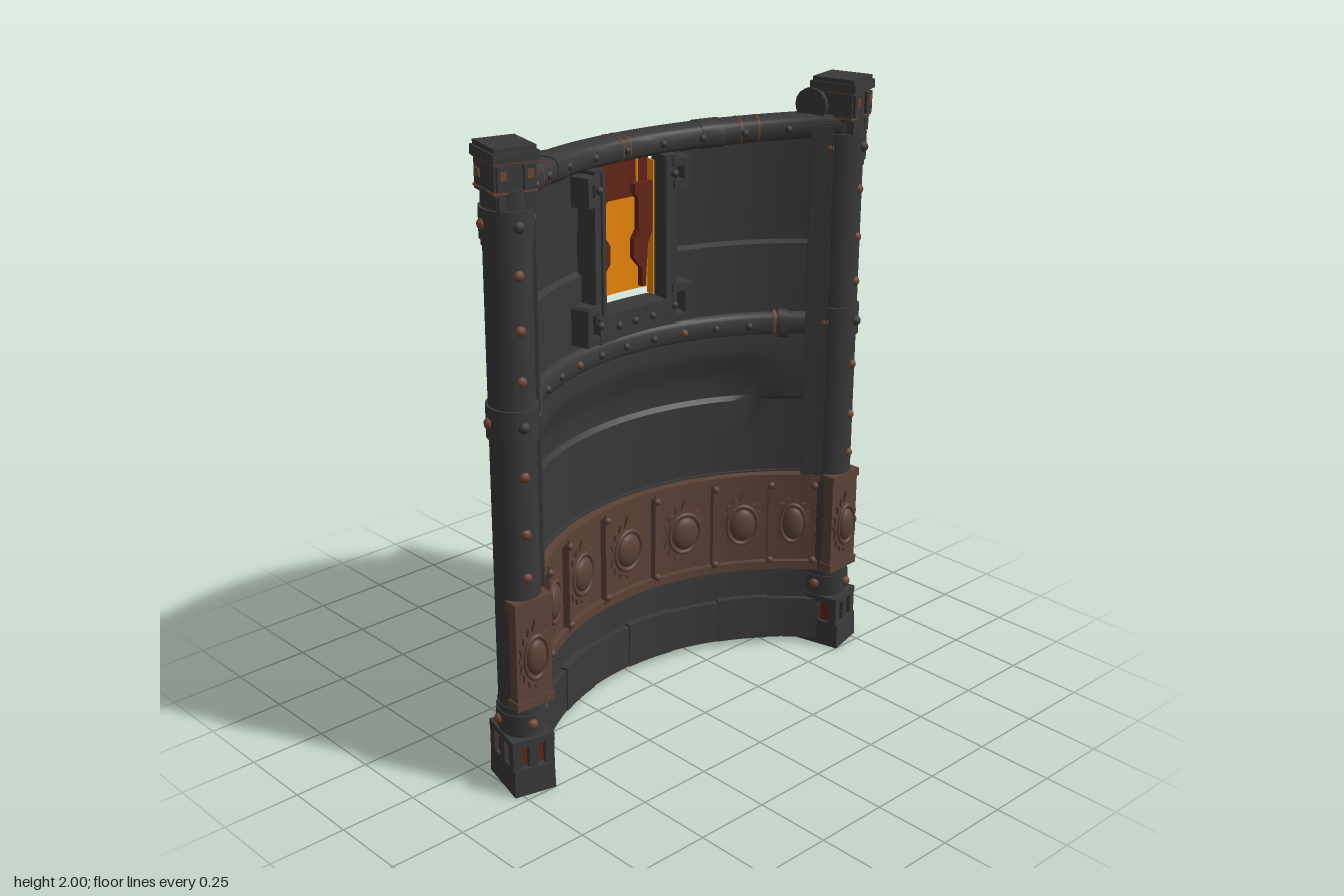
import * as THREE from 'three';
import { toCreasedNormals } from 'three/addons/utils/BufferGeometryUtils.js';

const R = 0.85, CZ = 0.68; // wall arc radius and centre depth
const flat = (name, color, side = THREE.FrontSide) => {
  const m = new THREE.MeshStandardMaterial({ color, side });
  m.name = name;
  return m;
};

export function createModel() {
  const root = new THREE.Group();
  root.name = 'curvedWall';
  const iron = flat('dark iron', 0x393939, THREE.DoubleSide);
  const bronze = flat('brown bronze', 0x5b4236);
  const copper = flat('worn copper', 0x6e4430);
  const glow = flat('amber glass', 0xf48c0a);
  const red = flat('dark red', 0x622418);

  const group = (name, parent = root) => {
    const g = new THREE.Group();
    g.name = name;
    parent.add(g);
    return g;
  };
  const add = (parent, name, geo, mat, x = 0, y = 0, z = 0) => {
    const m = new THREE.Mesh(geo, mat);
    m.name = name;
    m.position.set(x, y, z);
    parent.add(m);
    return m;
  };
  // wraps a flat-built geometry round the arc: x runs along the wall, z toward the front
  const bend = (geo) => {
    const p = geo.attributes.position;
    for (let i = 0; i < p.count; i++) {
      const a = p.getX(i) / R, r = R - p.getZ(i);
      p.setXYZ(i, r * Math.sin(a), p.getY(i), CZ - r * Math.cos(a));
    }
    return toCreasedNormals(geo, 0.6);
  };
  const block = (parent, name, mat, w, h, d, s, y, z) =>
    add(parent, name, bend(new THREE.BoxGeometry(w, h, d, Math.max(1, Math.ceil(w / 0.05))).translate(s, y, z)), mat);
  // rail with a rounded-square section
  const squarish = (v) => Math.sign(v) * Math.abs(v) ** 0.6;
  const rail = (parent, name, mat, len, ry, rz, s, y, z, lift = 0) => {
    const g = new THREE.CylinderGeometry(1, 1, len, 20, Math.max(1, Math.ceil(len / 0.05))).rotateZ(Math.PI / 2);
    const p = g.attributes.position;
    for (let i = 0; i < p.count; i++) {
      const x = p.getX(i) + s;
      p.setXYZ(i, x, y + ry * squarish(p.getY(i)) + lift * (x / 0.77) ** 2, z + rz * squarish(p.getZ(i)));
    }
    return add(parent, name, bend(g), mat);
  };
  // group standing on the arc, facing its centre
  const station = (parent, name, s, y, z) => {
    const g = group(name, parent), a = s / R, r = R - z;
    g.position.set(r * Math.sin(a), y, CZ - r * Math.cos(a));
    g.rotation.y = -a;
    return g;
  };
  const rivetGeo = new THREE.SphereGeometry(0.013, 10, 8);

  // ---- wall sheets, shaped by [height, depth, recess depth] rows ----
  const sheet = (name, s0, s1, rows) => {
    const g = new THREE.PlaneGeometry(1, 1, 32, rows.length - 1), p = g.attributes.position;
    for (let i = 0; i < p.count; i++) {
      const s = s0 + (p.getX(i) + 0.5) * (s1 - s0);
      const [y, z, dip = 0] = rows[rows.length - 1 - Math.floor(i / 33)];
      const fade = 1 - THREE.MathUtils.smoothstep(Math.abs(s), 0.42, 0.62);
      p.setXYZ(i, s, y, z - dip * fade);
    }
    add(root, name, bend(g), iron);
  };
  sheet('lowerWall', -0.77, 0.77, [[0.63, 0.008], [0.78, 0.012], [0.91, 0.016], [0.925, 0.034, 0.03],
    [0.98, 0.04, 0.034], [1.03, 0.042, 0.024], [1.07, 0.042, 0.008], [1.1, 0.04], [1.18, 0.034]]);
  const upper = [[1.15, 0.02], [1.3, 0.02], [1.455, 0.02], [1.465, 0], [1.55, 0.004], [1.68, 0.012], [1.85, 0.02]];
  sheet('upperWallRight', -0.77, -0.14, upper);
  sheet('upperWallLeft', 0.14, 0.77, upper);
  // flanges joining the wall to the posts
  for (const side of [-1, 1]) block(root, 'postFlange', iron, 0.075, 1.2, 0.09, side * 0.715, 1.25, 0.015);

  // ---- plinth ----
  const plinth = group('plinth');
  for (let i = 0; i < 8; i++) {
    const odd = i % 2;
    block(plinth, 'plinthBlock', iron, 0.19, odd ? 0.15 : 0.158, odd ? 0.118 : 0.126, (i - 3.5) * 0.19, odd ? 0.095 : 0.099, -0.012);
  }
  block(plinth, 'plinthStep', iron, 1.52, 0.13, 0.06, 0, 0.235, -0.003);

  // ---- ornament band ----
  const medallion = (parent, k = 1) => {
    const shape = new THREE.Shape();
    for (let i = 0; i < 32; i++) {
      const t = (i / 32) * Math.PI * 2, f = i % 2 ? 0.84 : 1;
      const x = 0.083 * k * f * Math.sin(t), y = (i === 0 ? 0.122 : 0.105) * f * Math.cos(t);
      i ? shape.lineTo(x, y) : shape.moveTo(x, y);
    }
    add(parent, 'sunburst', new THREE.ExtrudeGeometry(shape, { depth: 0.01, bevelEnabled: false }), bronze);
    add(parent, 'medallionRing', new THREE.TorusGeometry(0.058, 0.007, 8, 24).scale(k, 1.2, 1), bronze, 0, 0, 0.011);
    add(parent, 'medallionDome', new THREE.SphereGeometry(0.048, 16, 12).scale(k, 1.2, 0.4), bronze, 0, 0, 0.01);
  };
  const band = group('ornamentBand');
  block(band, 'bandPanel', bronze, 1.5, 0.34, 0.016, 0, 0.47, 0.028);
  block(band, 'bandTopTrim', bronze, 1.5, 0.025, 0.03, 0, 0.635, 0.04);
  block(band, 'bandBottomTrim', bronze, 1.5, 0.03, 0.03, 0, 0.305, 0.04);
  medallion(station(band, 'medallion', 0, 0.46, 0.036));
  const ribs = [0.12, 0.36, 0.57, 0.73];
  for (const side of [-1, 1]) {
    [[0.245, 1], [0.468, 0.92], [0.655, 0.75]].forEach(([s, k]) =>
      medallion(station(band, 'medallion', side * s, 0.46, 0.036), k));
    for (const s of ribs) {
      block(band, 'bandRib', bronze, 0.018, 0.33, 0.03, side * s, 0.47, 0.045);
      for (const y of [0.33, 0.61]) add(station(band, 'ribStud', side * s, y, 0.06), 'stud', rivetGeo, bronze);
    }
  }

  // ---- open frame behind the band ----
  const frame = group('rearFrame');
  block(frame, 'rearTopRail', iron, 1.5, 0.02, 0.055, 0, 0.64, -0.008);
  block(frame, 'rearBottomRail', iron, 1.5, 0.025, 0.055, 0, 0.305, -0.008);
  block(frame, 'rearCentrePlate', iron, 0.25, 0.34, 0.01, 0, 0.47, -0.031);
  for (const side of [-1, 1])
    for (const s of ribs) block(frame, 'rearBar', iron, 0.02, 0.34, 0.014, side * s, 0.47, -0.029);

  // ---- rails ----
  const rails = group('rails');
  rail(rails, 'topRail', iron, 1.56, 0.04, 0.056, 0, 1.82, -0.004, 0.03);
  rail(rails, 'middleRail', iron, 1.56, 0.044, 0.05, 0, 1.18, -0.008);
  for (const s of [-0.5, -0.44, -0.015, 0.015, 0.44, 0.5])
    rail(rails, 'topRailRing', copper, 0.006, 0.0412, 0.0575, s, 1.82, -0.004, 0.03);
  for (const side of [-1, 1]) {
    rail(rails, 'topRailSleeve', iron, 0.08, 0.043, 0.059, side * 0.34, 1.82, -0.004, 0.03);
    for (const s of [0.6, 0.7]) rail(rails, 'railClamp', iron, 0.035, 0.052, 0.058, side * s, 1.18, -0.008);
    rail(rails, 'railClampRing', copper, 0.01, 0.05, 0.056, side * 0.57, 1.18, -0.008);
  }
  for (let i = -4; i <= 4; i++) {
    add(station(rails, 'railRivet', i * 0.12, 1.18, 0.042), 'rivet', rivetGeo, Math.abs(i) === 2 ? copper : iron);
    add(station(rails, 'topRailRivet', i * 0.15, 1.82 + 0.03 * (i * 0.15 / 0.77) ** 2, 0.05), 'rivet', rivetGeo, iron);
    if (i) add(station(rails, 'railBackRivet', i * 0.14, 1.18, -0.056), 'rivet', rivetGeo, iron);
  }

  // ---- window ----
  const win = group('window');
  block(win, 'windowSill', iron, 0.36, 0.085, 0.08, 0, 1.28, 0.045);
  block(win, 'windowSillBack', iron, 0.3, 0.12, 0.035, 0, 1.262, 0.005);
  block(win, 'glass', glow, 0.27, 0.305, 0.006, 0, 1.497, -0.018);
  block(win, 'glassTop', red, 0.27, 0.14, 0.006, 0, 1.72, -0.018);
  add(win, 'glassLip', bend(new THREE.PlaneGeometry(0.27, 0.03, 6, 1).rotateY(Math.PI).translate(0, 1.332, -0.018)), glow);
  for (const side of [-1, 1]) {
    block(win, 'windowJamb', iron, 0.05, 0.48, 0.07, side * 0.165, 1.55, 0.04);
    block(win, 'jambStrip', iron, 0.018, 0.46, 0.085, side * 0.15, 1.55, 0.04);
    block(win, 'glassReturn', glow, 0.006, 0.44, 0.035, side * 0.135, 1.545, 0);
    block(win, 'glassEdge', glow, 0.006, 0.08, 0.006, side * 0.09, 1.735, -0.012);
    // stepped brackets at the corners
    for (const [y, w] of [[1.765, 0.07], [1.695, 0.06], [1.355, 0.07], [1.255, 0.08]])
      block(win, 'bracketArm', iron, w, 0.026, 0.065, side * 0.205, y, 0.05);
    block(win, 'bracketUpright', iron, 0.024, 0.09, 0.065, side * 0.225, 1.73, 0.05);
    block(win, 'bracketUpright', iron, 0.03, 0.12, 0.065, side * 0.235, 1.305, 0.05);
    for (const y of [1.73, 1.3]) add(station(win, 'windowRivet', side * 0.175, y, 0.083), 'rivet', rivetGeo, iron);
    // stepped red shutter in front of the glass
    const pts = [[0.13, 1.7], [0.13, 1.54], [0.11, 1.5], [0.1, 1.36], [0.085, 1.36], [0.085, 1.42],
      [0.05, 1.46], [0.05, 1.52], [0.07, 1.55], [0.07, 1.65], [0.055, 1.67], [0.055, 1.7]];
    const shape = new THREE.Shape(pts.map(([x, y]) => new THREE.Vector2(x * side, y)));
    add(win, 'shutter', new THREE.ExtrudeGeometry(shape, { depth: 0.02, bevelEnabled: false }), red, 0, 0, -0.165);
  }
  for (const s of [-0.08, 0, 0.08]) add(station(win, 'sillRivet', s, 1.28, 0.084), 'rivet', rivetGeo, iron);

  // ---- posts ----
  const box = (w, h, d) => new THREE.BoxGeometry(w, h, d);
  for (const side of [-1, 1]) {
    const post = group(side > 0 ? 'leftPost' : 'rightPost');
    post.position.set(side * 0.685, 0, 0.145);
    post.rotation.y = side * 0.25;
    add(post, 'shaft', new THREE.CylinderGeometry(0.068, 0.068, 1.7, 20).scale(1, 1, 1.12), iron, 0, 1.03, 0);

    // foot with red slits between pillars
    const foot = new THREE.CylinderGeometry(0.094, 0.097, 0.09, 4).rotateY(Math.PI / 4).scale(1, 1, 1.35).toNonIndexed();
    foot.computeVertexNormals();
    add(post, 'foot', foot, iron, 0, 0.045, 0);
    add(post, 'footCore', box(0.108, 0.09, 0.135), red, 0, 0.13, 0);
    for (const x of [-0.054, 0, 0.054])
      for (const z of [-0.07, 0.07]) add(post, 'footPillar', box(0.03, 0.09, 0.03), iron, x, 0.13, z);
    for (const x of [-0.054, 0.054]) add(post, 'footSidePillar', box(0.026, 0.09, 0.03), iron, x, 0.13, 0);
    add(post, 'footSlab', box(0.14, 0.022, 0.172), iron, 0, 0.176, 0);

    // collars round the shaft
    for (const [y, h, r] of [[0.235, 0.06, 0.076], [0.275, 0.02, 0.072], [1.195, 0.1, 0.076], [1.78, 0.09, 0.077], [1.725, 0.02, 0.072]])
      add(post, 'collar', new THREE.CylinderGeometry(r, r, h, 20).scale(1, 1, 1.1), iron, 0, y, 0);
    for (const y of [0.235, 1.195, 1.78]) {
      add(post, 'collarBolt', new THREE.SphereGeometry(0.018, 10, 8), y === 0.235 ? copper : iron, 0, y, 0.08);
      for (const x of [-0.071, 0.071]) add(post, 'collarBolt', new THREE.SphereGeometry(0.018, 10, 8), copper, x, y, 0);
    }
    for (const y of [0.72, 0.86, 1.04, 1.33, 1.48, 1.64])
      add(post, 'shaftRivet', new THREE.SphereGeometry(0.017, 10, 8), copper, 0, y, 0.07);

    // bronze panel facing straight ahead
    const panel = group('postOrnament', post);
    panel.rotation.y = -side * 0.2;
    add(panel, 'postPanel', box(0.13, 0.33, 0.035), bronze, 0, 0.47, 0.058);
    for (const y of [0.305, 0.635]) add(panel, 'postPanelTrim', box(0.138, 0.028, 0.05), bronze, 0, y, 0.056);
    const badge = group('postMedallion', panel);
    badge.position.set(0, 0.46, 0.0755);
    medallion(badge, 0.74);

    // capital
    add(post, 'capitalNeck', box(0.105, 0.09, 0.115), iron, 0, 1.845, 0);
    add(post, 'capitalBlock', box(0.126, 0.1, 0.136), iron, 0, 1.915, 0);
    add(post, 'capitalTop', box(0.138, 0.028, 0.16), iron, 0, 1.972, 0);
    add(post, 'capitalCrown', box(0.126, 0.016, 0.146), iron, 0, 1.992, 0);
    add(post, 'capitalTrim', box(0.132, 0.006, 0.146), copper, 0, 1.957, 0);
    add(post, 'capitalTrim', box(0.132, 0.006, 0.143), copper, 0, 1.875, 0);
    for (const x of [-0.04, 0.04]) {
      add(post, 'capitalTooth', box(0.035, 0.07, 0.02), iron, x, 1.915, 0.068);
      add(post, 'capitalStrap', box(0.022, 0.05, 0.02), iron, x, 1.85, 0.061);
      add(post, 'capitalPlate', box(0.02, 0.025, 0.006), copper, x, 1.925, 0.079);
      add(post, 'capitalSidePlate', box(0.006, 0.025, 0.03), copper, Math.sign(x) * 0.0645, 1.915, x);
    }
    add(post, 'railSocket', new THREE.CylinderGeometry(0.055, 0.055, 0.06, 16).rotateZ(Math.PI / 2), iron, -side * 0.05, 1.91, -0.07);
  }
  return root;
}
